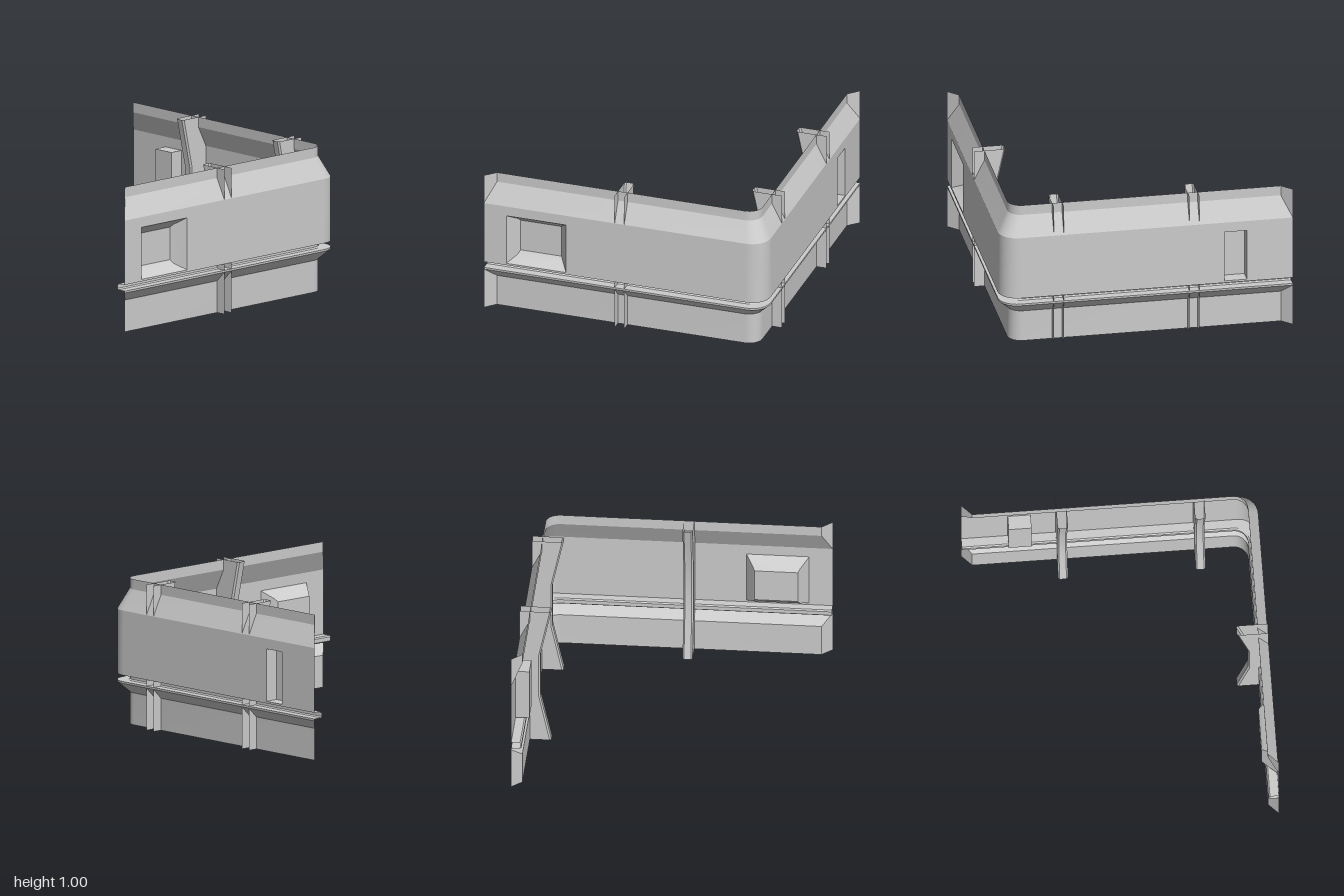
import * as THREE from 'three';
import { toCreasedNormals, mergeGeometries } from 'three/addons/utils/BufferGeometryUtils.js';

const material = new THREE.MeshStandardMaterial({ color: 0xcccccc, side: THREE.DoubleSide });

// Sheet through rows of [x, y, z] points
function sheet(rows) {
  const n = rows[0].length, index = [];
  for (let r = 0; r < rows.length - 1; r++) {
    for (let c = 0; c < n - 1; c++) {
      const a = r * n + c, b = a + n;
      index.push(a, a + 1, b, a + 1, b + 1, b);
    }
  }
  const g = new THREE.BufferGeometry();
  g.setAttribute('position', new THREE.Float32BufferAttribute(rows.flat(2), 3));
  g.setIndex(index);
  return g.toNonIndexed();
}

function part(name, geometries) {
  const mesh = new THREE.Mesh(toCreasedNormals(mergeGeometries(geometries), 0.45), material);
  mesh.name = name;
  return mesh;
}

// L-shaped path with a rounded corner, inset by d and mitred by m at both ends
const INSET = 0.07, GROOVE_TOP = 0.346, SHOULDER = 0.79;
const arcStart = d => 0.87 - d * 0.5;
function arcRow(y, d, segments = 8) {
  const c = arcStart(d), r = 1 - d - c, row = [];
  for (let i = 0; i <= segments; i++) {
    const t = (i / segments) * Math.PI / 2;
    row.push([c + r * Math.sin(t), y, -c - r * Math.cos(t)]);
  }
  return row;
}
const pathRow = (y, d, m) => [[-1 + m, y, -1 + d], ...arcRow(y, d), [1 - d, y, 1 - m]];

// Wall profile as [height, inset, end mitre]
const lower = [
  [0, INSET, INSET], [0.22, INSET, INSET], [0.29, 0, 0], [0.303, 0, 0],
  [0.303, 0.06, 0], [0.311, INSET, 0], [0.338, INSET, 0], [GROOVE_TOP, 0.06, 0], [GROOVE_TOP, 0, 0],
];
const upper = [[SHOULDER, 0, 0], [0.93, INSET, INSET], [1, INSET, INSET]];

// Flat middle panel with a window opening, in the back wall's frame
function panel(u0, u1, w) {
  const s = new THREE.Shape();
  s.moveTo(u0, GROOVE_TOP).lineTo(u1, GROOVE_TOP).lineTo(u1, SHOULDER).lineTo(u0, SHOULDER).closePath();
  const h = new THREE.Path();
  h.moveTo(w[0], w[2]).lineTo(w[0], w[3]).lineTo(w[1], w[3]).lineTo(w[1], w[2]).closePath();
  s.holes.push(h);
  return new THREE.ShapeGeometry(s).translate(0, 0, -1).toNonIndexed().deleteAttribute('uv').deleteAttribute('normal');
}

// Recess pressed inwards through rectangles [u0, u1, y0, y1, depth]
function recess(rings) {
  const rows = rings.map(([a, b, c, d, e]) =>
    [[a, c], [b, c], [b, d], [a, d], [a, c]].map(([u, y]) => [u, y, -1 + e]));
  const [a, b, c, d] = rows[rows.length - 1];
  return [sheet(rows), sheet([[a, b], [d, c]])];
}

// Channel post: two flanges joined by a bevelled face that bows towards the wall
function post(u0, u1) {
  const b = 0.011;
  return sheet([[0, 0.215], [0.34, 0.14], [0.66, 0.14], [1, 0.215]].map(([y, f]) =>
    [[u0, 0], [u0, f - b], [u0 + b, f], [u1 - b, f], [u1, f - b], [u1, 0]]
      .map(([u, d]) => [u, y, -1 + d])));
}

export function createModel() {
  const model = new THREE.Group();
  model.name = 'cornerWall';

  // Skirting with groove, top band and rounded corner
  model.add(part('lowerWall', [sheet(lower.map(p => pathRow(...p)))]));
  model.add(part('upperWall', [sheet(upper.map(p => pathRow(...p)))]));
  model.add(part('cornerPanel', [sheet([arcRow(GROOVE_TOP, 0), arcRow(SHOULDER, 0)])]));

  // Diagonal end returns closing the inset bands, mirrored across the corner
  const i = -1 + INSET;
  const returns = [
    [[[-1, 0, -1], [i, 0, i]], [[-1, 0.22, -1], [i, 0.22, i]], [[-1, 0.29, -1], [-1, 0.29, -1]]],
    [[[-1, SHOULDER, -1], [-1, SHOULDER, -1]], [[-1, 0.93, -1], [i, 0.93, i]], [[-1, 1, -1], [i, 1, i]]],
  ];
  const mirror = rows => rows.map(r => r.map(([x, y, z]) => [-z, y, -x]));
  model.add(part('backEndReturn', returns.map(sheet)));
  model.add(part('sideEndReturn', returns.map(r => sheet(mirror(r)))));

  // Back wall: panel, narrow straight recess, two posts
  const back = new THREE.Group();
  back.name = 'backWall';
  const slot = [-0.685, -0.53, 0.36, 0.72];
  back.add(part('backPanel', [panel(-1, arcStart(0), slot)]));
  back.add(part('backRecess', recess([[...slot, 0], [...slot, 0.095]])));
  for (const u of [-0.36, 0.57]) back.add(part('backPost', [post(u, u + 0.068)]));

  // Side wall: same frame turned a quarter, with a sloped recess and one post
  const side = new THREE.Group();
  side.name = 'sideWall';
  const bay = [0.415, 0.84, 0.36, 0.72];
  side.add(part('sidePanel', [panel(-arcStart(0), 1, bay)]));
  side.add(part('sideRecess', recess([
    [...bay, 0], [0.465, 0.785, 0.4, 0.67, 0.08], [0.48, 0.772, 0.425, 0.65, 0.1],
  ])));
  side.add(part('sidePost', [post(0, 0.068)]));
  side.rotation.y = -Math.PI / 2;

  model.add(back, side);
  return model;
}
